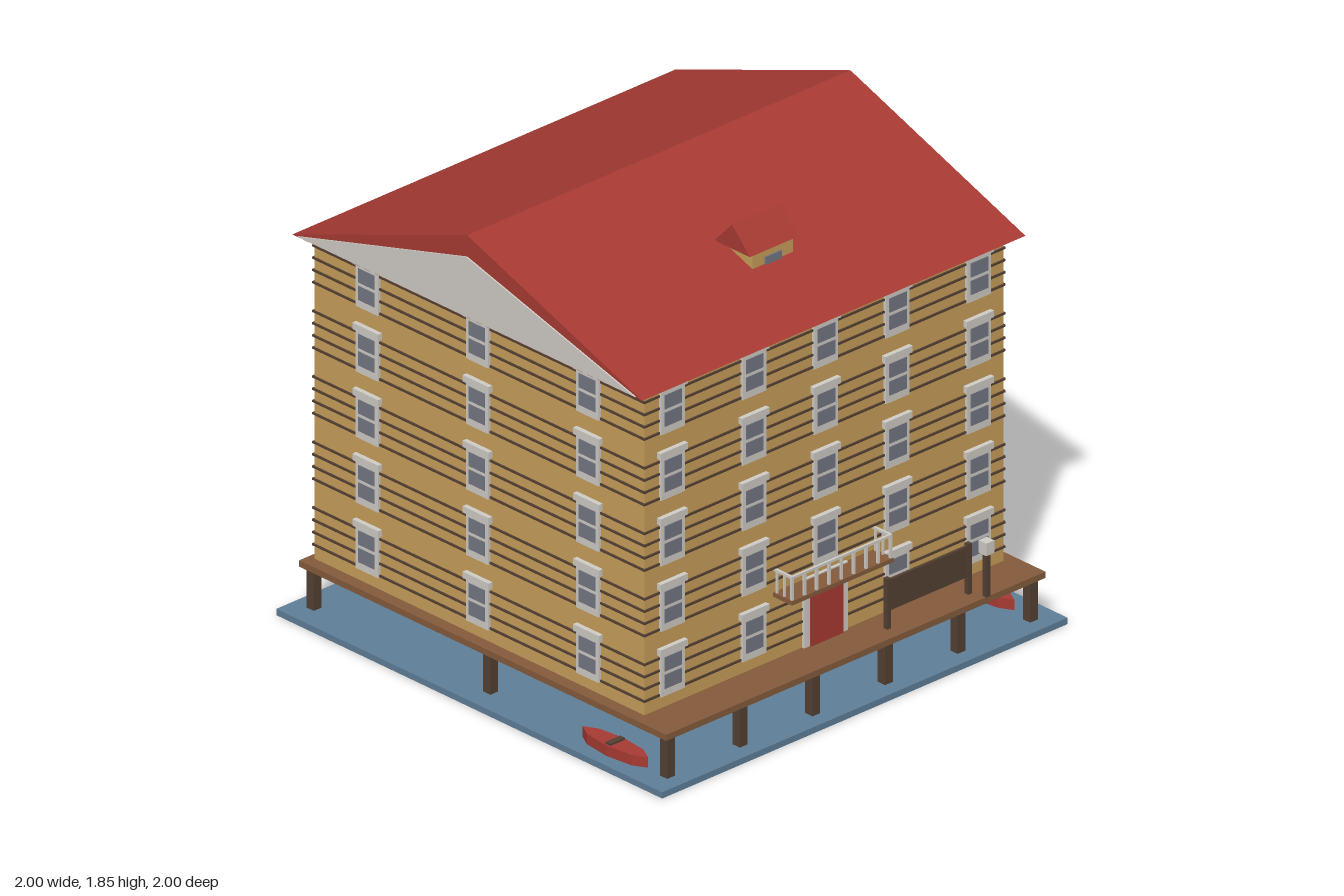
import * as THREE from 'three';

const mat = (name, color) => {
  const m = new THREE.MeshStandardMaterial({ color });
  m.name = name;
  return m;
};

export function createModel() {
  const M = {
    wall: mat('ochre wall', 0xc89f5b),
    roof: mat('barn red', 0xa83a33),
    trim: mat('off-white trim', 0xd0cdc6),
    glass: mat('grey glass', 0x747783),
    deck: mat('deck brown', 0x855b3c),
    dark: mat('dark timber', 0x544033),
    water: mat('water blue', 0x5f7f98),
  };
  const model = new THREE.Group();
  model.name = 'waterfrontHouse';

  // box from min/max ranges on each axis
  const box = (parent, name, m, [x0, x1], [y0, y1], [z0, z1]) => {
    const mesh = new THREE.Mesh(new THREE.BoxGeometry(x1 - x0, y1 - y0, z1 - z0), m);
    mesh.position.set((x0 + x1) / 2, (y0 + y1) / 2, (z0 + z1) / 2);
    mesh.name = name;
    parent.add(mesh);
    return mesh;
  };
  // triangular prism with its ridge along x
  const prism = (name, m, halfZ, y0, y1, z, x0, x1) => {
    const s = new THREE.Shape([
      new THREE.Vector2(-halfZ, y0), new THREE.Vector2(halfZ, y0), new THREE.Vector2(0, y1)]);
    const g = new THREE.ExtrudeGeometry(s, { depth: x1 - x0, bevelEnabled: false });
    g.rotateY(Math.PI / 2).translate(x0, 0, z);
    const mesh = new THREE.Mesh(g, m);
    mesh.name = name;
    model.add(mesh);
  };

  const HX = 0.885, ZF = 0.787, ZB = -0.923, ZC = -0.068;

  // water, deck and stilts
  box(model, 'water', M.water, [-1, 1], [0, 0.025], [-1, 1]);
  box(model, 'deck', M.deck, [-0.935, 0.935], [0.19, 0.215], [-0.95, 0.953]);
  for (let i = 0; i < 6; i++) for (const z of [-0.915, 0, 0.917]) {
    const x = -0.895 + i * 0.358;
    box(model, 'stilt', M.dark, [x - 0.019, x + 0.019], [0.025, 0.19], [z - 0.019, z + 0.019]);
  }

  // house body and roof
  box(model, 'walls', M.wall, [-HX, HX], [0.215, 1.52], [ZB, ZF]);
  prism('roof', M.roof, 0.907, 1.515, 1.845, ZC, -0.945, 0.945);
  for (const s of [-1, 1])
    prism('gable', M.trim, 0.875, 1.52, 1.76, ZC, s * 0.947 - 0.004, s * 0.947 + 0.004);

  // horizontal siding strips, four per floor
  const FLOOR = 0.2625;
  for (let f = 0; f < 5; f++) for (let k = 0; k < 4; k++) {
    const y = 0.272 + f * FLOOR + k * 0.049;
    box(model, 'sidingStrip', M.dark, [-HX - 0.006, HX + 0.006], [y - 0.004, y + 0.004],
      [ZB - 0.006, ZF + 0.006]);
  }

  // window facing +z, local origin at bottom centre on the wall
  const addWindow = (x, y, z, turn) => {
    const w = new THREE.Group();
    w.name = 'window';
    box(w, 'windowFrame', M.trim, [-0.058, 0.058], [0, 0.17], [-0.005, 0.012]);
    box(w, 'windowCap', M.trim, [-0.067, 0.067], [0.168, 0.194], [-0.005, 0.019]);
    for (const y0 of [0.03, 0.1])
      box(w, 'pane', M.glass, [-0.042, 0.042], [y0, y0 + 0.056], [0.01, 0.015]);
    w.position.set(x, y, z);
    w.rotation.y = turn;
    model.add(w);
  };
  for (let f = 0; f < 5; f++) {
    const y = 0.265 + f * FLOOR;
    for (const x of [-0.755, -0.353, 0, 0.353, 0.755])
      if (f > 0 || x !== 0) addWindow(x, y, ZF, 0);
    for (const x of [-0.25, 0.25]) addWindow(x, y, ZB, Math.PI);
    for (const z of [ZC - 0.572, ZC, ZC + 0.572])
      for (const s of [-1, 1]) addWindow(s * HX, y, z, s * Math.PI / 2);
  }

  // door
  box(model, 'doorFrame', M.trim, [-0.108, 0.108], [0.215, 0.49], [ZF, ZF + 0.012]);
  box(model, 'door', M.roof, [-0.08, 0.08], [0.215, 0.458], [ZF, ZF + 0.018]);

  // balcony with railing
  const balcony = new THREE.Group();
  balcony.name = 'balcony';
  model.add(balcony);
  box(balcony, 'balconyFloor', M.deck, [-0.25, 0.25], [0.468, 0.485], [ZF, 0.885]);
  box(balcony, 'frontRail', M.trim, [-0.248, 0.248], [0.57, 0.58], [0.872, 0.882]);
  for (const s of [-1, 1]) {
    box(balcony, 'sideRail', M.trim, [s * 0.243 - 0.005, s * 0.243 + 0.005], [0.57, 0.58], [ZF, 0.874]);
    for (const z of [0.8, 0.838])
      box(balcony, 'baluster', M.trim, [s * 0.243 - 0.004, s * 0.243 + 0.004], [0.485, 0.572], [z - 0.004, z + 0.004]);
  }
  for (let i = 0; i < 9; i++) {
    const x = -0.243 + i * 0.06075;
    box(balcony, 'baluster', M.trim, [x - 0.005, x + 0.005], [0.485, 0.572], [0.872, 0.882]);
  }

  // blank sign board on two posts
  for (const x of [0.218, 0.618])
    box(model, 'signPost', M.dark, [x - 0.009, x + 0.009], [0.215, 0.417], [0.876, 0.896]);
  box(model, 'signBoard', M.dark, [0.21, 0.625], [0.285, 0.408], [0.88, 0.892]);

  // lamp
  box(model, 'lampPost', M.dark, [0.641, 0.663], [0.215, 0.39], [0.935, 0.955]);
  box(model, 'lamp', M.trim, [0.632, 0.672], [0.387, 0.437], [0.925, 0.965]);

  // small dormer on the front slope
  box(model, 'dormerBody', M.wall, [-0.1, 0.1], [1.6, 1.692], [0.36, 0.522]);
  box(model, 'dormerWindow', M.glass, [-0.04, 0.04], [1.61, 1.66], [0.52, 0.528]);
  prism('dormerRoof', M.roof, 0.093, 1.688, 1.785, 0.437, -0.12, 0.12);

  // rowing boats moored on both sides
  const hull = new THREE.Shape([[0, -0.17], [0.03, -0.115], [0.043, 0], [0.03, 0.115], [0, 0.17],
    [-0.03, 0.115], [-0.043, 0], [-0.03, -0.115]].map(([x, y]) => new THREE.Vector2(x, y)));
  for (const s of [-1, 1]) {
    const g = new THREE.ExtrudeGeometry(hull, { depth: 0.042, bevelEnabled: false });
    g.rotateX(-Math.PI / 2);
    const boat = new THREE.Mesh(g, M.roof);
    boat.name = 'boat';
    boat.position.set(s * 0.903, 0.025, 0.655);
    model.add(boat);
    box(model, 'boatSeat', M.dark, [s * 0.903 - 0.036, s * 0.903 + 0.036], [0.06, 0.075], [0.643, 0.667]);
  }
  return model;
}
